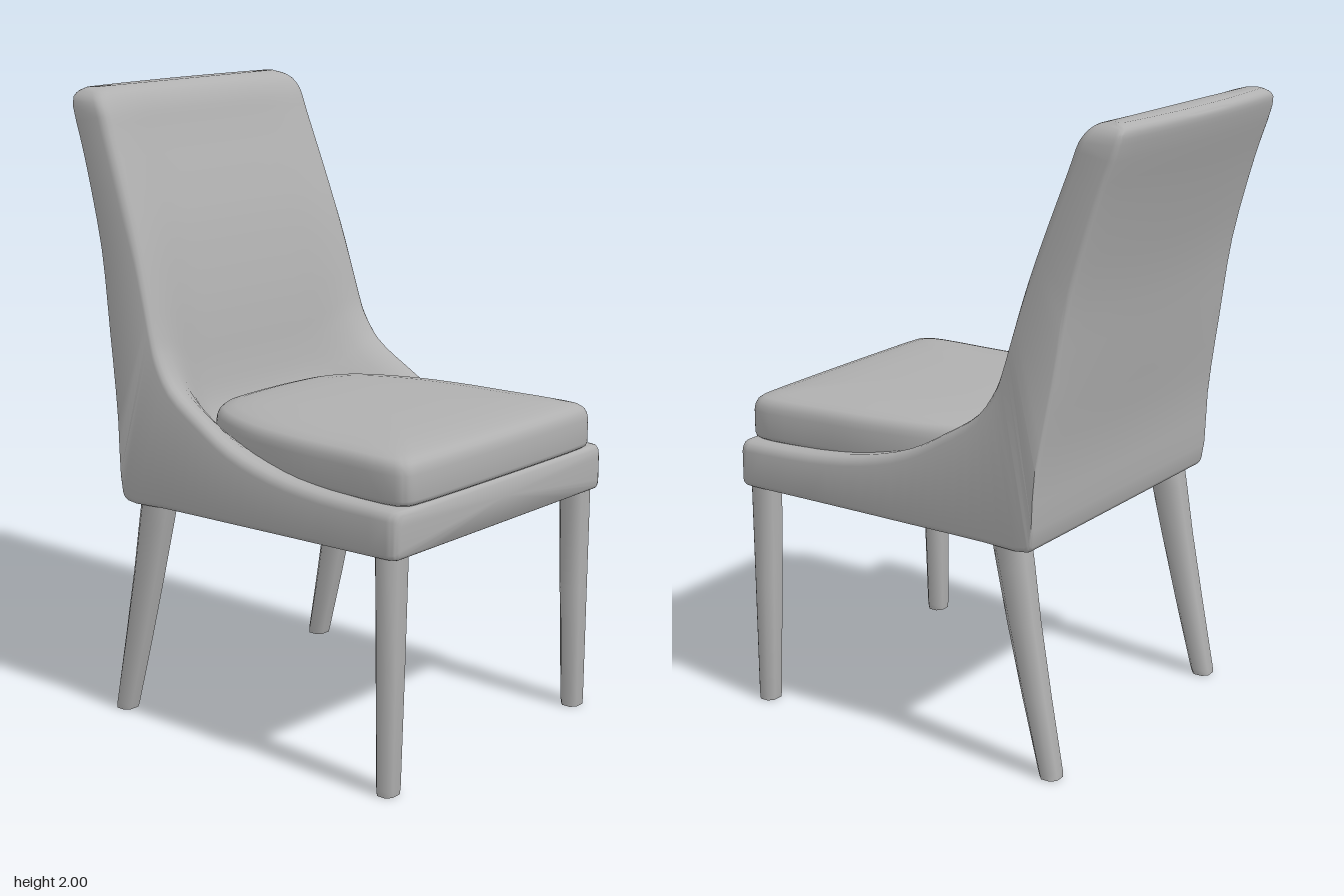
import * as THREE from 'three';
import { toCreasedNormals } from 'three/addons/utils/BufferGeometryUtils.js';

// Closed skin over equal-length rings of [x, y, z], capped at both ends
function loft(rings, crease) {
  const n = rings[0].length, pos = [], idx = [];
  rings.forEach(r => r.forEach(p => pos.push(...p)));
  for (let i = 0; i < rings.length - 1; i++)
    for (let j = 0; j < n; j++) {
      const a = i * n + j, b = i * n + (j + 1) % n;
      idx.push(a, b, a + n, b, b + n, a + n);
    }
  [0, rings.length - 1].forEach((k, end) => {
    const c = pos.length / 3;
    pos.push(...[0, 1, 2].map(d => rings[k].reduce((s, p) => s + p[d], 0) / n));
    for (let j = 0; j < n; j++) {
      const a = k * n + j, b = k * n + (j + 1) % n;
      idx.push(...(end ? [a, b, c] : [b, a, c]));
    }
  });
  // turn the skin outwards if its signed volume is negative
  const v = i => new THREE.Vector3().fromArray(pos, i * 3);
  let vol = 0;
  for (let i = 0; i < idx.length; i += 3) vol += v(idx[i]).dot(v(idx[i + 1]).cross(v(idx[i + 2])));
  if (vol < 0) idx.reverse();
  const g = new THREE.BufferGeometry();
  g.setAttribute('position', new THREE.Float32BufferAttribute(pos, 3));
  g.setIndex(idx);
  return toCreasedNormals(g, crease);
}

// Half width of the shell at a given height
const WIDTH = [[0.7, 0.53], [0.9, 0.53], [1.0, 0.524], [1.2, 0.511], [1.5, 0.495],
  [1.94, 0.475], [1.97, 0.466], [1.99, 0.445], [2.0, 0.42]];
function halfWidth(y) {
  for (let i = 1; i < WIDTH.length; i++) {
    const [y0, w0] = WIDTH[i - 1], [y1, w1] = WIDTH[i];
    if (y <= y1) return w0 + (w1 - w0) * (y - y0) / (y1 - y0);
  }
  return 0.42;
}

// Stations from seat front to top of back:
// rim z, y | middle of inner face z, y | underside or rear face z, y | side inset
const STATIONS = [
  [0.685, 0.868, 0.685, 0.868, 0.685, 0.748, 0.025],
  [0.675, 0.88, 0.675, 0.88, 0.675, 0.737, 0.01],
  [0.65, 0.882, 0.65, 0.88, 0.65, 0.735, 0],
  [0.4, 0.888, 0.4, 0.88, 0.4, 0.731, 0],
  [0.2, 0.912, 0.15, 0.88, 0.2, 0.728, 0],
  [0.03, 0.96, -0.1, 0.88, 0.03, 0.725, 0],
  [-0.1, 1.03, -0.24, 0.9, -0.1, 0.723, 0],
  [-0.22, 1.11, -0.3, 0.98, -0.25, 0.72, 0],
  [-0.28, 1.2, -0.33, 1.1, -0.405, 0.718, 0],
  [-0.305, 1.27, -0.345, 1.2, -0.42, 0.735, 0],
  [-0.33, 1.36, -0.365, 1.32, -0.44, 0.96, 0],
  [-0.37, 1.5, -0.4, 1.48, -0.49, 1.24, 0],
  [-0.41, 1.62, -0.435, 1.61, -0.54, 1.5, 0],
  [-0.5, 1.86, -0.52, 1.86, -0.62, 1.77, 0],
  [-0.53, 1.94, -0.545, 1.94, -0.68, 1.94, 0],
  [-0.565, 1.985, -0.575, 1.985, -0.685, 1.98, 0],
  [-0.61, 2.0, -0.61, 2.0, -0.665, 1.998, 0],
];

function shellGeometry() {
  const curve = k => new THREE.CatmullRomCurve3(
    STATIONS.map(s => new THREE.Vector3(s[6], s[k + 1], s[k])));
  const [rim, mid, under] = [0, 2, 4].map(curve);
  const N = (STATIONS.length - 1) * 3, rings = [];
  for (let i = 0; i <= N; i++) {
    const t = i / N, e = rim.getPoint(t), m = mid.getPoint(t), u = under.getPoint(t);
    const inset = Math.max(0, e.x), len = Math.hypot(e.y - u.y, e.z - u.z);
    const r = Math.min(0.03, len * 0.4), q = Math.min(0.018, len * 0.4);
    const bow = 0.022 * THREE.MathUtils.smoothstep(u.y, 0.75, 1.9);
    const we = halfWidth(e.y) - inset, wu = halfWidth(u.y) - inset;
    const between = (x, d) => [x, e.y + (u.y - e.y) * d / len, e.z + (u.z - e.z) * d / len];
    const inner = f => {
      const k = THREE.MathUtils.smoothstep(Math.abs(f), 0.45, 1);
      return [f * (we - r), m.y + (e.y - m.y) * k, m.z + (e.z - m.z) * k];
    };
    const lower = f => [f * (wu - q), u.y, u.z + bow * (f * f - 0.5)];
    // rounded edges along one side, from the rim to the underside
    const side = s => {
      const pts = [];
      for (const a of [Math.PI / 6, Math.PI / 3, Math.PI / 2])
        pts.push(between(s * (we - r + r * Math.sin(a)), r * (1 - Math.cos(a))));
      for (const a of [Math.PI / 2, Math.PI / 3, Math.PI / 6]) {
        const p = between(s * (wu - q + q * Math.sin(a)), len - q * (1 - Math.cos(a)));
        p[2] += bow * 0.5;
        pts.push(p);
      }
      return pts;
    };
    const ring = [];
    for (let j = -12; j <= 12; j++) ring.push(inner(j / 12));
    ring.push(...side(1));
    for (let j = 6; j >= -6; j--) ring.push(lower(j / 6));
    ring.push(...side(-1).reverse());
    rings.push(ring);
  }
  return loft(rings, 0.75);
}

// Domed seat pad with a rounded rear
function cushionGeometry() {
  const half = [[0.2, 0.686], [0.4, 0.682], [0.455, 0.674], [0.478, 0.64], [0.474, 0.4],
    [0.462, 0.2], [0.425, 0], [0.335, -0.19], [0.24, -0.255], [0.12, -0.274]];
  const pts = [[0, 0.687], ...half, [0, -0.278], ...half.map(([x, z]) => [-x, z]).reverse()];
  const outline = new THREE.CatmullRomCurve3(
    pts.map(([x, z]) => new THREE.Vector3(x, 0, z)), true).getPoints(88).slice(0, -1);
  // scale and height of each layer
  const layers = [[0.975, 0.882], [0.993, 0.888], [1, 0.9], [1, 0.975], [0.994, 0.993], [0.98, 1.008],
    [0.955, 1.018], [0.88, 1.028], [0.75, 1.037], [0.55, 1.043], [0.3, 1.046], [0.05, 1.047]];
  return loft(layers.map(([s, y]) => outline.map(p => [p.x * s, y, 0.2 + (p.z - 0.2) * s])), 0.8);
}

// Tapered leg with chamfered corners; sections are [x, y, z, half x, half z]
function legGeometry(sections, side) {
  const corners = [[1, 0.5], [0.5, 1], [-0.5, 1], [-1, 0.5], [-1, -0.5], [-0.5, -1], [0.5, -1], [1, -0.5]];
  return loft(sections.map(([x, y, z, hx, hz]) =>
    corners.map(([a, b]) => [side * (x + a * hx), y, z + b * hz])), 0.9);
}

export function createModel() {
  const grey = new THREE.MeshStandardMaterial({ color: 0xb0b0b0 });
  grey.name = 'plain grey';
  const model = new THREE.Group();
  model.name = 'diningChair';
  const add = (name, geometry) => {
    const mesh = new THREE.Mesh(geometry, grey);
    mesh.name = name;
    model.add(mesh);
  };

  add('shell', shellGeometry());
  add('cushion', cushionGeometry());

  const front = [[0.48, 0, 0.625, 0.034, 0.03], [0.479, 0.02, 0.625, 0.036, 0.032],
    [0.472, 0.4, 0.624, 0.043, 0.038], [0.467, 0.76, 0.623, 0.049, 0.043]];
  const rear = [[0.48, 0, -0.468, 0.034, 0.031], [0.479, 0.02, -0.464, 0.036, 0.033],
    [0.476, 0.25, -0.412, 0.039, 0.041], [0.472, 0.48, -0.363, 0.043, 0.048],
    [0.468, 0.65, -0.331, 0.047, 0.054], [0.466, 0.76, -0.31, 0.049, 0.057]];
  for (const [s, label] of [[1, 'Left'], [-1, 'Right']]) {
    add('front' + label + 'Leg', legGeometry(front, s));
    add('rear' + label + 'Leg', legGeometry(rear, s));
  }
  return model;
}
